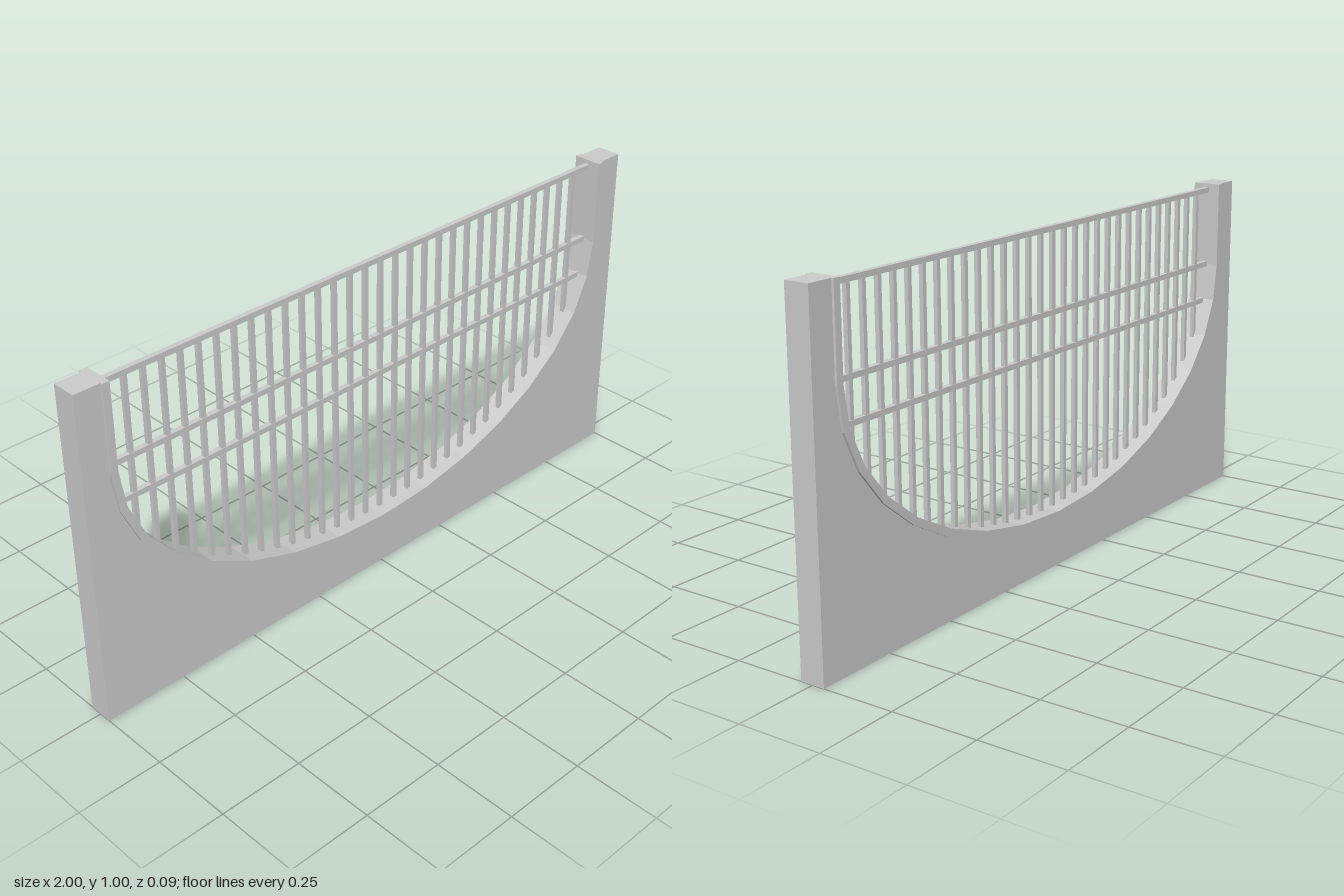
import * as THREE from 'three';

const SPRING = 0.742, STEPS = 16;
const material = new THREE.MeshStandardMaterial({ color: 0xcccccc, flatShading: true });

// Faceted U outline, running from top left down round to top right
function archPoints(rx, ry) {
  const points = [new THREE.Vector2(-rx, 1)];
  for (let i = 0; i <= STEPS; i++) {
    const a = Math.PI * (1 + i / STEPS);
    points.push(new THREE.Vector2(rx * Math.cos(a), SPRING + ry * Math.sin(a)));
  }
  points.push(new THREE.Vector2(rx, 1));
  return points;
}

// Height of a faceted outline at a given x
function heightAt(points, x) {
  for (let i = 1; i < points.length; i++) {
    const a = points[i - 1], b = points[i];
    if (b.x > a.x && x >= a.x && x <= b.x) return a.y + (b.y - a.y) * (x - a.x) / (b.x - a.x);
  }
  return SPRING;
}

function addSlab(group, name, points, depth) {
  const geometry = new THREE.ExtrudeGeometry(new THREE.Shape(points), { depth, bevelEnabled: false });
  geometry.translate(0, 0, -depth / 2);
  const mesh = new THREE.Mesh(geometry, material);
  mesh.name = name;
  group.add(mesh);
}

function addBox(group, name, w, h, d, x, y) {
  const mesh = new THREE.Mesh(new THREE.BoxGeometry(w, h, d), material);
  mesh.position.set(x, y, 0);
  mesh.name = name;
  group.add(mesh);
}

export function createModel() {
  const model = new THREE.Group();
  model.name = 'archedFence';
  const outer = archPoints(0.922, 0.6);
  const inner = archPoints(0.9, 0.576);

  // Solid wall with the inverted arch cut out of its top
  const corners = [[1, 1], [1, 0], [-1, 0], [-1, 1]].map(([x, y]) => new THREE.Vector2(x, y));
  addSlab(model, 'wall', [...outer, ...corners], 0.074);

  // Raised trim lining the opening, proud of both wall faces
  addSlab(model, 'trim', [...outer, ...inner.slice().reverse()], 0.088);

  // Horizontal rails
  const rails = new THREE.Group();
  rails.name = 'rails';
  for (const [y, half] of [[0.98, 0.902], [0.742, 0.902], [0.625, 0.886]]) {
    addBox(rails, 'rail', half * 2, 0.016, 0.016, 0, y);
  }
  model.add(rails);

  // Vertical bars from the trim up to the top rail
  const bars = new THREE.Group();
  bars.name = 'bars';
  for (let i = 0; i < 30; i++) {
    const x = (i - 14.5) * 0.0573;
    const bottom = heightAt(inner, x) - 0.008, top = 0.98;
    addBox(bars, 'bar', 0.013, top - bottom, 0.013, x, (top + bottom) / 2);
  }
  model.add(bars);
  return model;
}
